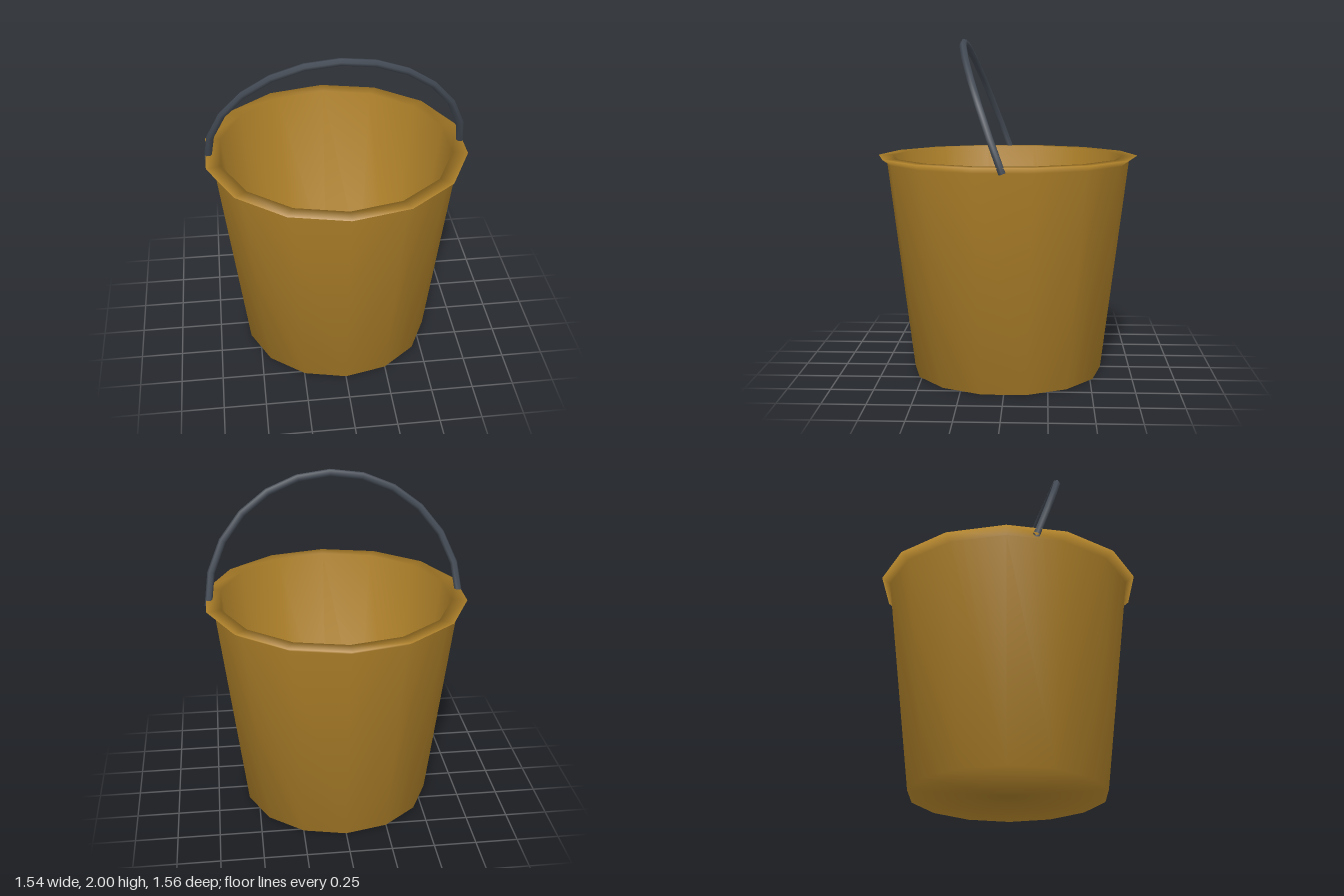
import * as THREE from 'three';
import { mergeVertices } from 'three/addons/utils/BufferGeometryUtils.js';

export function createModel() {
  const group = new THREE.Group();
  group.name = 'bucket';

  // Closed thick-walled profile: base, outer wall, flared rim, inner wall, inner floor
  const profile = [
    [0, 0], [0.573, 0], [0.73, 1.275], [0.78, 1.31], [0.69, 1.31], [0.535, 0.05], [0, 0.05],
  ].map(([r, y]) => new THREE.Vector2(r, y));
  const lathe = new THREE.LatheGeometry(profile, 14);
  lathe.deleteAttribute('uv');
  lathe.deleteAttribute('normal');

  // Welded, so the shading runs smoothly over rim and floor
  const bodyGeometry = mergeVertices(lathe, 0.001);
  bodyGeometry.computeVertexNormals();
  const body = new THREE.Mesh(
    bodyGeometry,
    new THREE.MeshStandardMaterial({ color: 0xb0822a, side: THREE.DoubleSide }),
  );
  body.name = 'body';
  group.add(body);

  // Half-ring carrying handle with open ends, leaning forward from its pivots
  const handle = new THREE.Mesh(
    new THREE.TorusGeometry(0.75, 0.022, 6, 12, Math.PI),
    new THREE.MeshStandardMaterial({ color: 0x434a54, side: THREE.DoubleSide }),
  );
  handle.name = 'handle';
  handle.position.y = 1.276;
  handle.rotation.x = THREE.MathUtils.degToRad(20);
  group.add(handle);

  return group;
}
